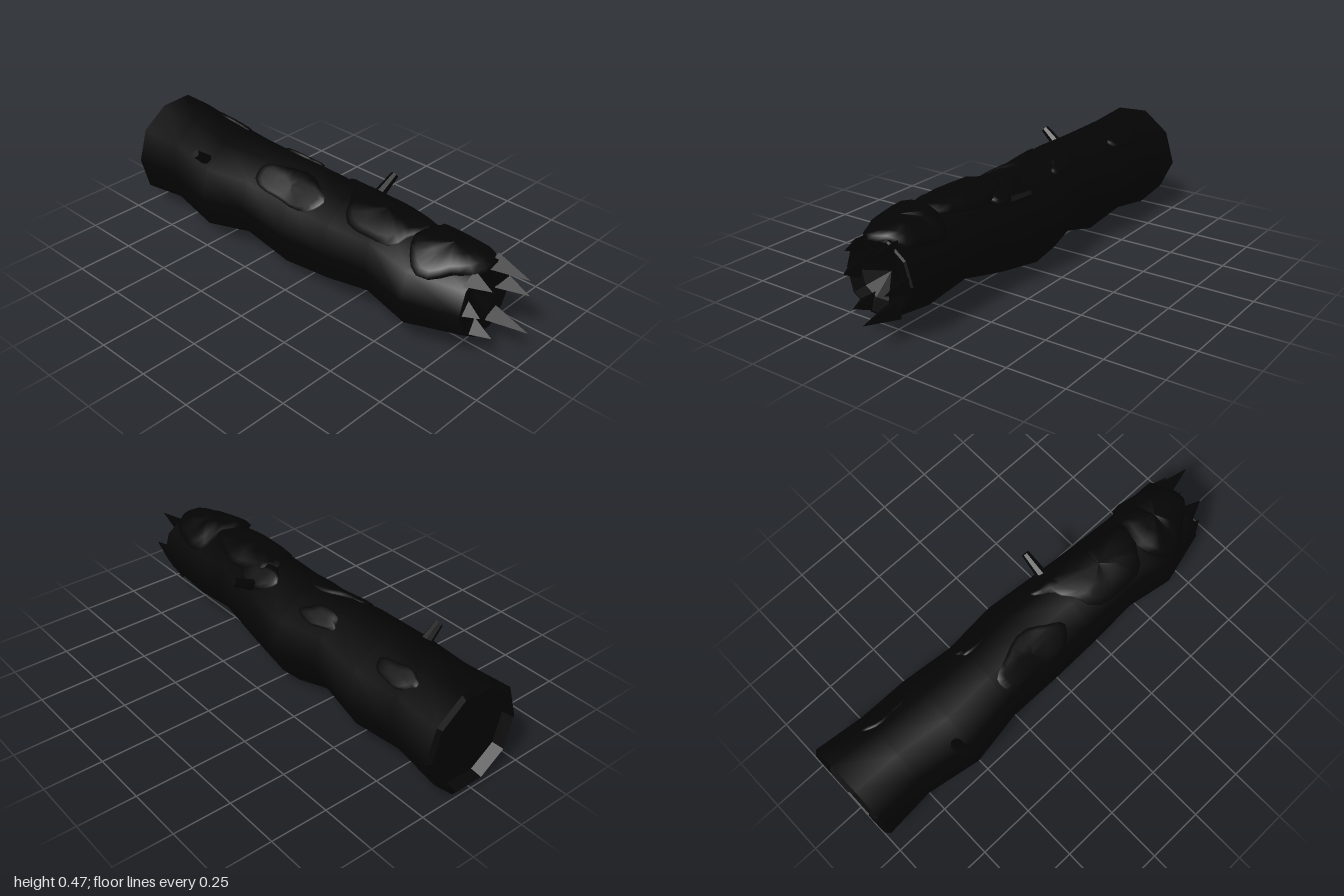
import * as THREE from 'three';

const SIDES = 10;
const STEP = (Math.PI * 2) / SIDES;
const bark = new THREE.MeshStandardMaterial({ color: 0x040404 });
const facet = new THREE.MeshStandardMaterial({ color: 0x040404, flatShading: true });
const moss = new THREE.MeshStandardMaterial({ color: 0x040404 });

// Trunk stations: x, top y, bottom y, front z, back z
const STATIONS = [
  [-0.985, 0.47, 0.005, 0.22, -0.246],
  [-0.77, 0.455, 0.035, 0.205, -0.22],
  [-0.53, 0.44, 0.004, 0.242, -0.225],
  [-0.3, 0.448, 0.06, 0.21, -0.19],
  [-0.07, 0.432, 0, 0.205, -0.22],
  [0.17, 0.435, 0.035, 0.205, -0.19],
  [0.39, 0.44, 0.085, 0.2, -0.165],
  [0.6, 0.425, 0.05, 0.23, -0.16],
  [0.835, 0.405, 0.093, 0.168, -0.156],
];
const FLAT = Math.sin(Math.PI * 0.4); // height of the ten-sided ring
const UNEVEN = [1, 1, 0.97, 1, 1, 1, 0.91, 1, 1, 1.03]; // radius factor of each ridge

// Corner j of a ring, scaled about the ring centre
function corner([, top, bot, zp, zn], x, j, scale) {
  const s = scale * UNEVEN[j % SIDES];
  const ry = ((top - bot) / 2 / FLAT) * s;
  const rz = ((zp - zn) / 2) * s;
  return new THREE.Vector3(x, (top + bot) / 2 + Math.sin(j * STEP) * ry, (zp + zn) / 2 + Math.cos(j * STEP) * rz);
}

function ring(station, x, scale) {
  return Array.from({ length: SIDES }, (_, j) => corner(station, x, j, scale));
}

// Point on the faceted trunk at any x and angle
function trunkPoint(x, angle, scale) {
  let i = 0;
  while (i < STATIONS.length - 2 && x > STATIONS[i + 1][0]) i++;
  const [a, b] = [STATIONS[i], STATIONS[i + 1]];
  const t = (x - a[0]) / (b[0] - a[0]);
  const mix = a.map((v, k) => v + (b[k] - v) * t);
  const j = Math.floor(angle / STEP);
  return corner(mix, x, j, scale).lerp(corner(mix, x, j + 1, scale), angle / STEP - j);
}

// Skin between closed rings of points
function loft(name, rings, material) {
  const n = rings[0].length;
  const index = [];
  for (let i = 0; i < rings.length - 1; i++) {
    for (let j = 0; j < n; j++) {
      const k = (j + 1) % n;
      const a = i * n + j, b = a + n, c = i * n + k, d = c + n;
      index.push(a, b, c, c, b, d);
    }
  }
  const geo = new THREE.BufferGeometry().setFromPoints(rings.flat());
  geo.setIndex(index);
  geo.computeVertexNormals();
  const mesh = new THREE.Mesh(geo, material);
  mesh.name = name;
  return mesh;
}

// Rounded, wavy moss pad that follows the trunk; thickness is a share of the radius
function mossPatch(x, deg, halfLength, halfDeg, thickness, seed) {
  const profile = [[0, 1], [0.45, 1], [0.8, 0.9], [0.97, 0.55], [0.98, -0.2]];
  const rings = profile.map(([r, lift]) => Array.from({ length: 24 }, (_, j) => {
    const t = (j / 24) * Math.PI * 2;
    const w = r * (1 + 0.08 * Math.sin(3 * t + seed) + 0.06 * Math.sin(5 * t + seed * 2));
    const angle = THREE.MathUtils.degToRad(deg + halfDeg * w * Math.sin(t));
    return trunkPoint(x + halfLength * w * Math.cos(t), angle, 1 + thickness * lift);
  }));
  return loft('mossPatch', rings, moss);
}

// Short snapped twig
function stub(name, from, to) {
  const a = new THREE.Vector3(...from), b = new THREE.Vector3(...to);
  const dir = b.clone().sub(a);
  const mesh = new THREE.Mesh(new THREE.CylinderGeometry(0.018, 0.025, dir.length(), 7), facet);
  mesh.position.copy(a).lerp(b, 0.5);
  mesh.quaternion.setFromUnitVectors(new THREE.Vector3(0, 1, 0), dir.normalize());
  mesh.name = name;
  return mesh;
}

export function createModel() {
  const group = new THREE.Group();
  const first = STATIONS[0], last = STATIONS[STATIONS.length - 1];

  group.add(loft('trunk', STATIONS.map((s) => ring(s, s[0], 1)), bark));

  // Shallow hollow end with a thin rim
  group.add(loft('hollowEnd', [
    ring(first, -0.95, 0), ring(first, -0.95, 0.88), ring(first, -1, 0.92), ring(first, -0.985, 1),
  ], facet));

  // Broken end, dished in the middle
  group.add(loft('brokenEnd', [
    ring(last, 0.835, 1), ring(last, 0.84, 0.94), ring(last, 0.825, 0.6), ring(last, 0.77, 0),
  ], facet));

  // Splinters: y, z, tip x
  const splinters = [
    [0.362, 0.09, 0.92], [0.37, -0.055, 0.985], [0.25, 0.125, 0.9],
    [0.25, -0.12, 0.95], [0.135, 0.067, 0.92], [0.135, -0.055, 1],
  ];
  const base = 0.82;
  for (const [y, z, tip] of splinters) {
    const length = tip - base;
    const mesh = new THREE.Mesh(new THREE.ConeGeometry(0.046, length, 3).rotateZ(-Math.PI / 2), facet);
    mesh.position.set(base + length / 2, y, z);
    mesh.name = 'splinter';
    group.add(mesh);
  }

  group.add(stub('frontTwig', [-0.57, 0.37, 0.155], [-0.57, 0.428, 0.222]));
  group.add(stub('backTwig', [0.18, 0.38, -0.13], [0.18, 0.432, -0.227]));

  // Moss pads: x, angle, half length, half angle, thickness
  const pads = [
    [0.36, 88, 0.21, 46, 0.11], [0.69, 90, 0.155, 54, 0.19], [-0.1, 58, 0.19, 24, 0.06],
    [0.19, 115, 0.11, 24, 0.08], [-0.23, 122, 0.1, 13, 0.06], [-0.7, 125, 0.11, 12, 0.05],
  ];
  pads.forEach((p, i) => group.add(mossPatch(...p, i * 1.7)));

  return group;
}
